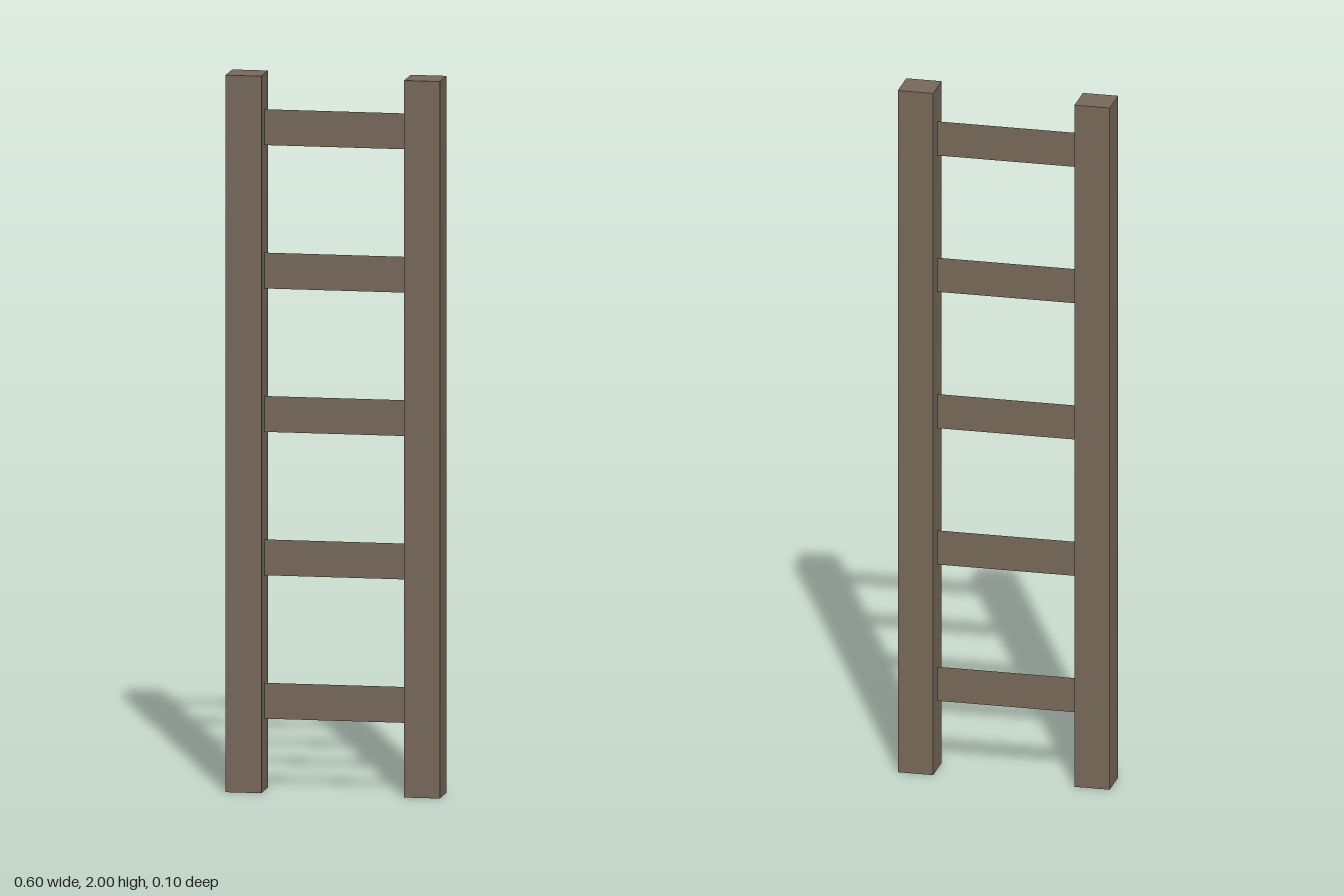
import * as THREE from 'three';

export function createModel() {
  const model = new THREE.Group();
  model.name = 'ladder';

  const wood = new THREE.MeshStandardMaterial({ color: 0x766859, side: THREE.DoubleSide });
  wood.name = 'weathered wood';

  // Square upright rails
  const railGeometry = new THREE.BoxGeometry(0.1, 2, 0.1);
  for (const [name, side] of [['leftRail', 1], ['rightRail', -1]]) {
    const rail = new THREE.Mesh(railGeometry, wood);
    rail.name = name;
    rail.position.set(side * 0.25, 1, 0);
    model.add(rail);
  }

  // Flat, paper-thin rungs spanning the gap on the centre plane
  const rungGeometry = new THREE.PlaneGeometry(0.4, 0.1);
  for (let i = 0; i < 5; i++) {
    const rung = new THREE.Mesh(rungGeometry, wood);
    rung.name = `rung${i + 1}`;
    rung.position.y = 0.25 + i * 0.4;
    model.add(rung);
  }

  return model;
}
